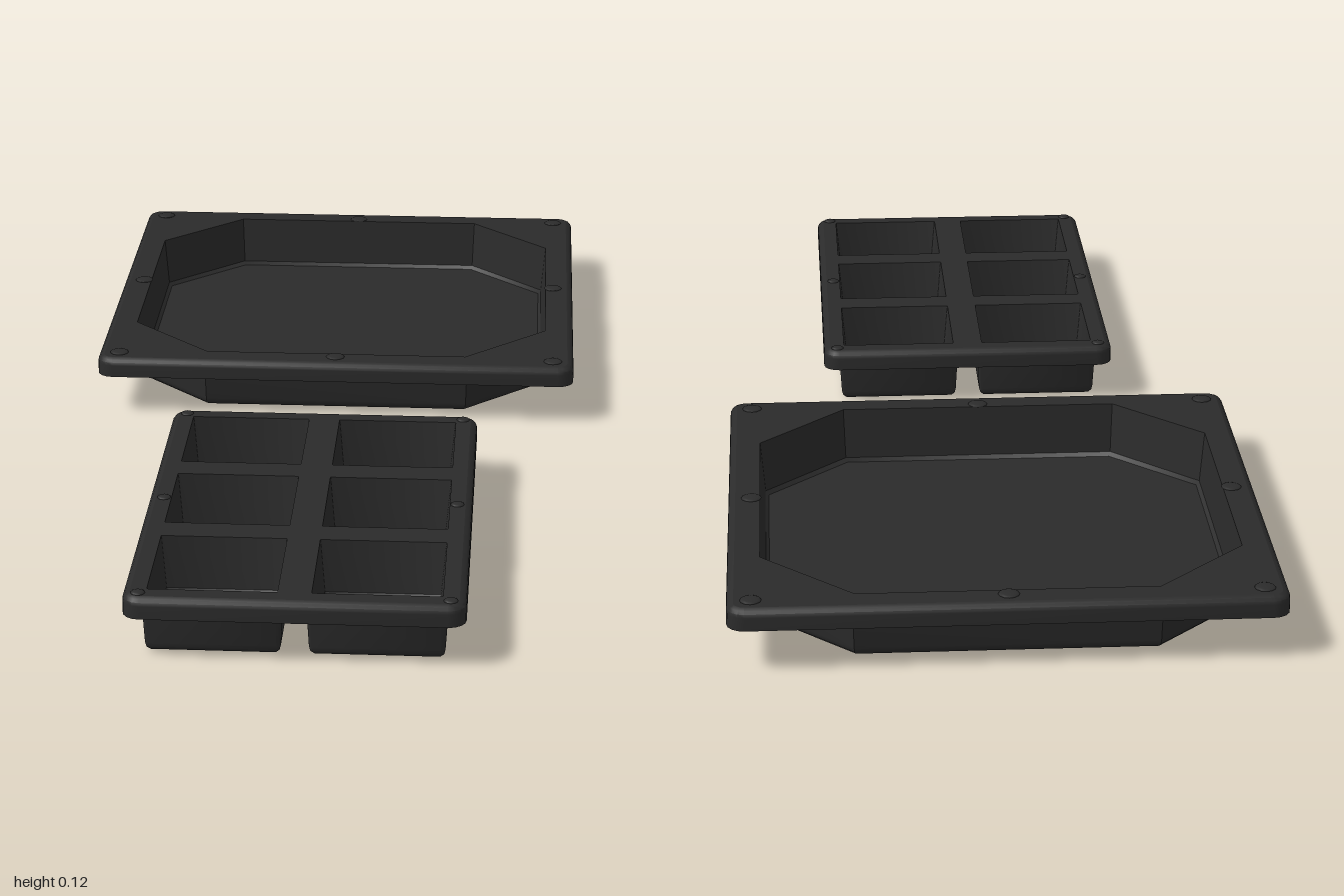
import * as THREE from 'three';
import { toCreasedNormals } from 'three/addons/utils/BufferGeometryUtils.js';

const TOP = 0.113, UNDER = 0.1, SKIRT = 0.076;

// Outlines run counter-clockwise seen from above; "inset" shrinks them evenly.
const roundedRect = (hw, hd, r) => (inset) => {
  const pts = [], rad = Math.max(r - inset, 0.002), w = hw - inset - rad, d = hd - inset - rad;
  [[1, 1], [-1, 1], [-1, -1], [1, -1]].forEach(([sx, sy], q) => {
    for (let i = 0; i <= 4; i++) {
      const a = (q + i / 4) * Math.PI / 2;
      pts.push(new THREE.Vector2(sx * w + Math.cos(a) * rad, sy * d + Math.sin(a) * rad));
    }
  });
  return pts;
};

const octagon = (half, corner) => (inset) => {
  const h = half - inset, c = corner - inset * Math.tan(Math.PI / 8);
  return [[h, -c], [h, c], [c, h], [-c, h], [-h, c], [-h, -c], [-c, -h], [c, -h]]
    .map(([x, y]) => new THREE.Vector2(x, y));
};

// Skin through rings given as [inset, y]; inset null collapses to the centre.
function loft(outline, profile) {
  const n = outline(0).length, pos = [], idx = [];
  for (const [inset, y] of profile) {
    for (const p of outline(inset ?? 0)) {
      if (inset === null) pos.push(0, y, 0);
      else pos.push(p.x, y, -p.y);
    }
  }
  for (let i = 0; i < profile.length - 1; i++) {
    for (let j = 0; j < n; j++) {
      const k = (j + 1) % n;
      const a = i * n + j, b = i * n + k, c = a + n, d = b + n;
      if (profile[i][0] !== null) idx.push(a, b, c);
      if (profile[i + 1][0] !== null) idx.push(b, d, c);
    }
  }
  const g = new THREE.BufferGeometry();
  g.setAttribute('position', new THREE.Float32BufferAttribute(pos, 3));
  g.setIndex(idx);
  return toCreasedNormals(g, 0.6);
}

// Flat sheet with openings, facing up or down
function sheet(points, holes, y, down) {
  const shape = new THREE.Shape(points);
  shape.holes = holes.map((h) => new THREE.Path(h));
  const g = new THREE.ShapeGeometry(shape);
  if (down) {
    const ix = g.index.array;
    for (let i = 0; i < ix.length; i += 3) [ix[i], ix[i + 1]] = [ix[i + 1], ix[i]];
    g.computeVertexNormals();
  }
  return g.rotateX(-Math.PI / 2).translate(0, y, 0);
}

export function createModel() {
  const plastic = new THREE.MeshStandardMaterial({ color: 0x2b2b2b });
  plastic.name = 'black plastic';
  const model = new THREE.Group();
  model.name = 'trays';

  const add = (parent, geometry, name, x = 0, y = 0, z = 0) => {
    const mesh = new THREE.Mesh(geometry, plastic);
    mesh.name = name;
    mesh.position.set(x, y, z);
    parent.add(mesh);
  };

  function tray(name, z, rim, well, centres, bumps, bumpRadius) {
    const group = new THREE.Group();
    group.name = name;
    group.position.z = z;

    // Rim: hanging skirt with a rounded top edge
    add(group, loft(rim, [
      [0.01, UNDER], [0.01, SKIRT], [0, SKIRT], [0, 0.099],
      [0.001, 0.105], [0.005, 0.11], [0.012, TOP],
    ]), 'rimEdge');

    // Rim: top and underside sheets, open at every well
    const openings = (inset) => centres.map(([cx, cz]) =>
      well(inset).map((p) => new THREE.Vector2(p.x + cx, p.y - cz)));
    add(group, sheet(rim(0.012), openings(0.01), TOP, false), 'rimTop');
    add(group, sheet(rim(0.01), openings(0), UNDER, true), 'rimUnderside');

    // Wells: inner wall, floor, base and outer wall
    const wellGeometry = loft(well, [
      [0.01, TOP], [0.018, 0.02], [0.024, 0.013], [null, 0.013],
      [null, 0], [0.022, 0], [0.013, 0.003], [0.007, 0.009], [0.005, 0.017], [0, UNDER],
    ]);
    for (const [cx, cz] of centres) add(group, wellGeometry, 'well', cx, 0, cz);

    // Low stacking bumps on the rim
    const bump = new THREE.SphereGeometry(1, 12, 4, 0, Math.PI * 2, 0, Math.PI / 2)
      .scale(bumpRadius, 0.004, bumpRadius);
    for (const [bx, bz] of bumps) add(group, bump, 'stackingBump', bx, TOP, bz);
    model.add(group);
  }

  // Large tray with one octagonal well
  const b = 0.42, largeBumps = [];
  for (const x of [-b, 0, b]) for (const z of [-b, 0, b]) {
    if (x || z) largeBumps.push([x, z]);
  }
  tray('largeTray', -0.54, roundedRect(0.46, 0.46, 0.03), octagon(0.415, 0.255),
    [[0, 0]], largeBumps, 0.018);

  // Small tray with six square wells
  const cells = [], smallBumps = [];
  for (const z of [-0.27, 0, 0.27]) {
    for (const x of [-0.135, 0.135]) {
      cells.push([x, z]);
      smallBumps.push([Math.sign(x) * 0.255, Math.sign(z) * 0.392]);
    }
  }
  tray('smallTray', 0.583, roundedRect(0.281, 0.417, 0.03), roundedRect(0.117, 0.117, 0.012),
    cells, smallBumps, 0.012);

  return model;
}
